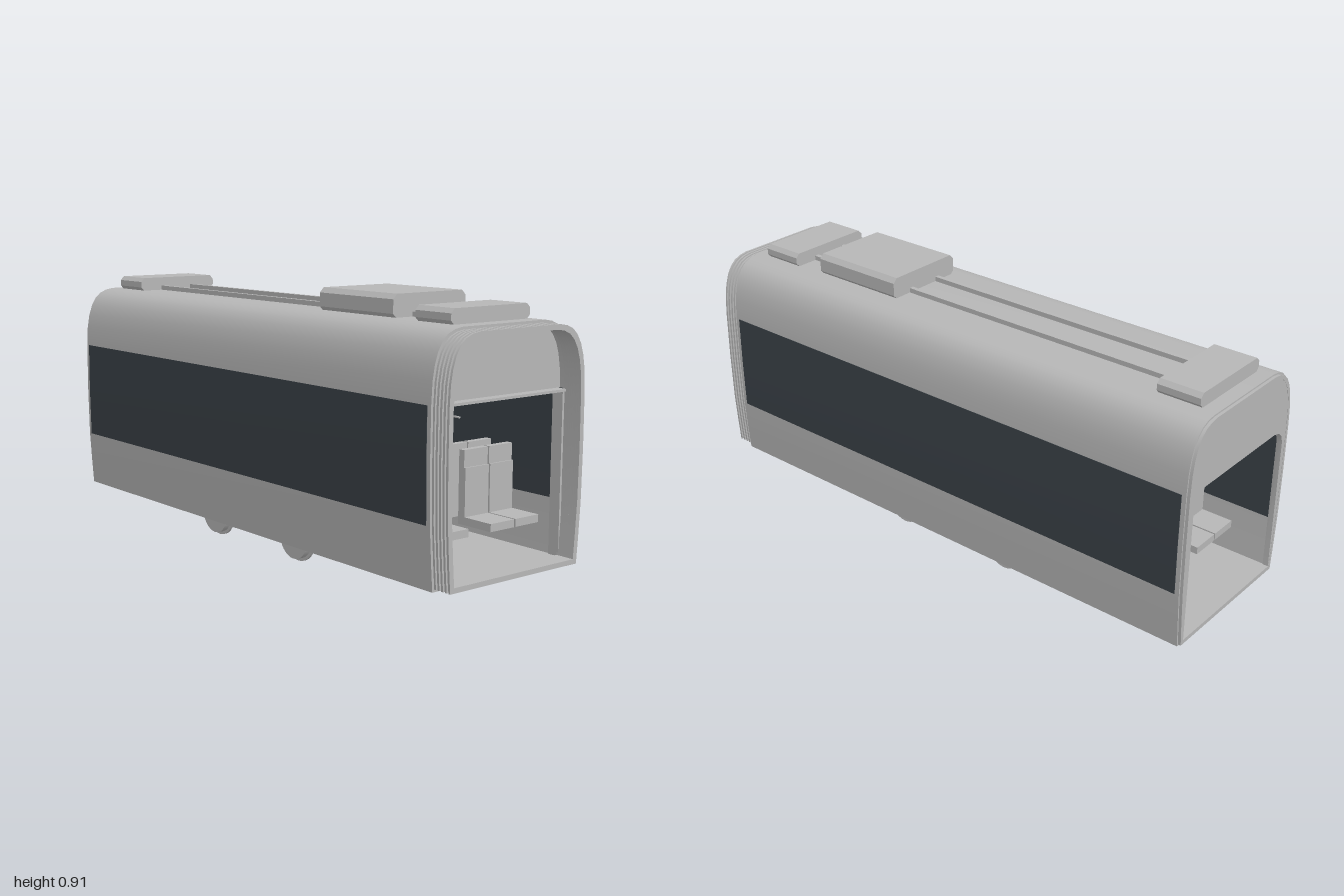
import * as THREE from 'three';
import { toCreasedNormals } from 'three/addons/utils/BufferGeometryUtils.js';

const grey = new THREE.MeshStandardMaterial({ color: 0xb6b6b6 });
grey.name = 'painted grey';
const dark = new THREE.MeshStandardMaterial({ color: 0x3a4147 });
dark.name = 'dark glass';

// Half cross-section of the carriage, sill to roof
const PROFILE = [
  [0.273, 0.08], [0.279, 0.16], [0.286, 0.275], [0.289, 0.45], [0.288, 0.62], [0.284, 0.69], [0.276, 0.735],
  [0.264, 0.771], [0.247, 0.799], [0.226, 0.818], [0.2, 0.829], [0.17, 0.834],
];

// Full closed outline, inset on every side
function outline(inset = 0, bottom = 0.08 + inset) {
  const half = PROFILE.map(([x, y]) => {
    const k = (0.29 - inset) / 0.29;
    const t = (y - 0.08) / 0.754;
    return new THREE.Vector2(x * k, bottom + t * (0.834 - inset - bottom));
  });
  return [...half, ...half.slice().reverse().map((p) => new THREE.Vector2(-p.x, p.y))];
}

export function createModel() {
  const model = new THREE.Group();
  model.name = 'tramCarriage';

  const add = (name, geometry, material = grey, parent = model) => {
    const mesh = new THREE.Mesh(geometry, material);
    mesh.name = name;
    parent.add(mesh);
    return mesh;
  };
  const box = (name, x0, x1, y0, y1, z0, z1, material = grey, parent = model) => {
    const mesh = add(name, new THREE.BoxGeometry(x1 - x0, y1 - y0, z1 - z0), material, parent);
    mesh.position.set((x0 + x1) / 2, (y0 + y1) / 2, (z0 + z1) / 2);
    return mesh;
  };
  const extrude = (name, points, hole, z0, z1, material = grey) => {
    const shape = new THREE.Shape(points);
    if (hole) shape.holes.push(new THREE.Path(hole));
    const geometry = new THREE.ExtrudeGeometry(shape, { depth: z1 - z0, bevelEnabled: false });
    geometry.translate(0, 0, z0);
    return add(name, toCreasedNormals(geometry, 0.6), material);
  };
  const rod = (name, radius, length, axis, x, y, z, sides = 24, parent = model) => {
    const geometry = new THREE.CylinderGeometry(radius, radius, length, sides);
    if (axis === 'x') geometry.rotateZ(Math.PI / 2);
    if (axis === 'z') geometry.rotateX(Math.PI / 2);
    const mesh = add(name, geometry, grey, parent);
    mesh.position.set(x, y, z);
    return mesh;
  };

  // Hollow body shell with floor, and the small rounded edge at the rear
  extrude('bodyShell', outline(), outline(0.016, 0.1), -0.99, 0.935);
  extrude('rearRim', outline(0.005), outline(0.016, 0.1), -1, -0.99);

  // Rear end wall with a round-cornered opening
  const opening = [[-0.255, 0.1], [0.255, 0.1], [0.255, 0.565], [0.248, 0.59], [0.23, 0.608], [0.2, 0.616],
    [-0.2, 0.616], [-0.23, 0.608], [-0.248, 0.59], [-0.255, 0.565]].map((p) => new THREE.Vector2(...p));
  extrude('rearEndWall', outline(0.008), opening, -0.999, -0.98);

  // Front bulkhead over a plain portal
  extrude('frontBulkhead', outline(0.008).filter((p) => p.y > 0.6), null, 0.895, 0.91);
  box('portalLintel', -0.26, 0.26, 0.612, 0.62, 0.9, 0.945);

  // Bellows: alternating ribs
  for (let i = 0; i < 9; i++) {
    const z = 0.935 + i * 0.065 / 9;
    const inset = i % 2 ? 0.014 : 0.008;
    extrude('bellowsRib', outline(inset), outline(0.024), z, z + 0.065 / 9);
  }

  // Long window bands, outside and inside
  for (const side of [-1, 1]) {
    for (const [name, offset] of [['outerWindowBand', 0.0], ['innerWindowBand', -0.0185]]) {
      const edge = PROFILE.slice(2, 5);
      const points = [
        ...edge.map(([x, y]) => new THREE.Vector2(side * (x + offset + 0.0015), y)),
        ...edge.slice().reverse().map(([x, y]) => new THREE.Vector2(side * (x + offset - 0.001), y)),
      ];
      extrude(name, points, null, -0.975, 0.92, dark);
    }
    box('portalPost', side * 0.255 - 0.004, side * 0.255 + 0.004, 0.1, 0.612, 0.9, 0.94);
  }

  // Roof equipment with chamfered ends
  const roofBox = (name, w, y0, y1, c, z0, z1) => extrude(name, [
    [-w + c, y0], [w - c, y0], [w, y0 + c], [w, y1 - c], [w - c, y1], [-w + c, y1], [-w, y1 - c], [-w, y0 + c],
  ].map((p) => new THREE.Vector2(...p)), null, z0, z1);
  roofBox('roofUnit', 0.151, 0.83, 0.906, 0.016, 0.27, 0.62);
  roofBox('frontRoofBox', 0.163, 0.832, 0.881, 0.014, 0.73, 0.88);
  roofBox('rearRoofBox', 0.163, 0.832, 0.881, 0.014, -0.94, -0.79);
  for (const x of [-0.065, 0.065]) box('roofConduit', x - 0.008, x + 0.008, 0.83, 0.85, -0.8, 0.74);

  // Seats, each facing +z (1) or -z (-1); z marks the rear of the backrest
  const seat = (x, z, facing) => {
    const group = new THREE.Group();
    group.name = 'seat';
    box('cushion', -0.051, 0.051, 0.19, 0.215, 0, 0.14, grey, group);
    box('backrest', -0.051, 0.051, 0.19, 0.37, 0, 0.028, grey, group);
    box('headrest', -0.051, 0.051, 0.37, 0.425, 0, 0.022, grey, group);
    group.position.set(x, 0, z);
    if (facing < 0) group.rotation.y = Math.PI;
    model.add(group);
  };
  for (const [z, facing] of [[0.71, 1], [0.64, -1], [0.2, 1], [0.12, -1], [-0.2, 1], [-0.27, -1], [-0.64, 1], [-0.71, -1]]) {
    for (const x of [-0.206, -0.098, 0.098, 0.206]) seat(x, z, facing);
  }

  // Raised floor over the running gear
  for (const s of [-1, 1]) {
    box('wheelPodium', s * 0.143 - 0.107, s * 0.143 + 0.107, 0.1, 0.15, -0.38, 0.32);
    for (const z of [0.2, -0.255]) {
      rod('springPot', 0.024, 0.04, 'y', s * 0.211, 0.162, z);
    }
  }
  box('aislePlinth', -0.036, 0.036, 0.1, 0.13, -0.3, 0.24);

  // Hanging information screen
  rod('screenHanger', 0.003, 0.23, 'y', 0, 0.705, 0, 10);
  box('screenCase', -0.078, 0.078, 0.543, 0.596, -0.012, 0.012);
  for (const z of [-0.0135, 0.0135]) box('screenPanel', -0.071, 0.071, 0.548, 0.591, z - 0.002, z + 0.002, dark);

  // Overhead grab rails
  for (const x of [-0.105, 0.105]) rod('grabRail', 0.0035, 1.3, 'z', x, 0.51, 0, 8);

  // Wheelsets: flanged wheels, brake discs, axle and axle boxes
  for (const z of [0.2, -0.255]) {
    rod('axle', 0.012, 0.4, 'x', 0, 0.08, z);
    for (const s of [-1, 1]) {
      rod('wheelTread', 0.072, 0.03, 'x', s * 0.19, 0.083, z, 32);
      rod('wheelFlange', 0.082, 0.008, 'x', s * 0.18, 0.083, z, 32);
      rod('brakeDisc', 0.05, 0.012, 'x', s * 0.118, 0.08, z, 32);
      box('axleBox', s * 0.216 - 0.014, s * 0.216 + 0.014, 0.06, 0.1, z - 0.03, z + 0.03);
    }
  }
  // Traction motors slung between the axles
  for (const z of [0.085, -0.14]) rod('tractionMotor', 0.032, 0.18, 'x', -0.015, 0.077, z);

  // Rest the model on the ground
  const bounds = new THREE.Box3().setFromObject(model);
  model.position.y = -bounds.min.y;
  return model;
}
